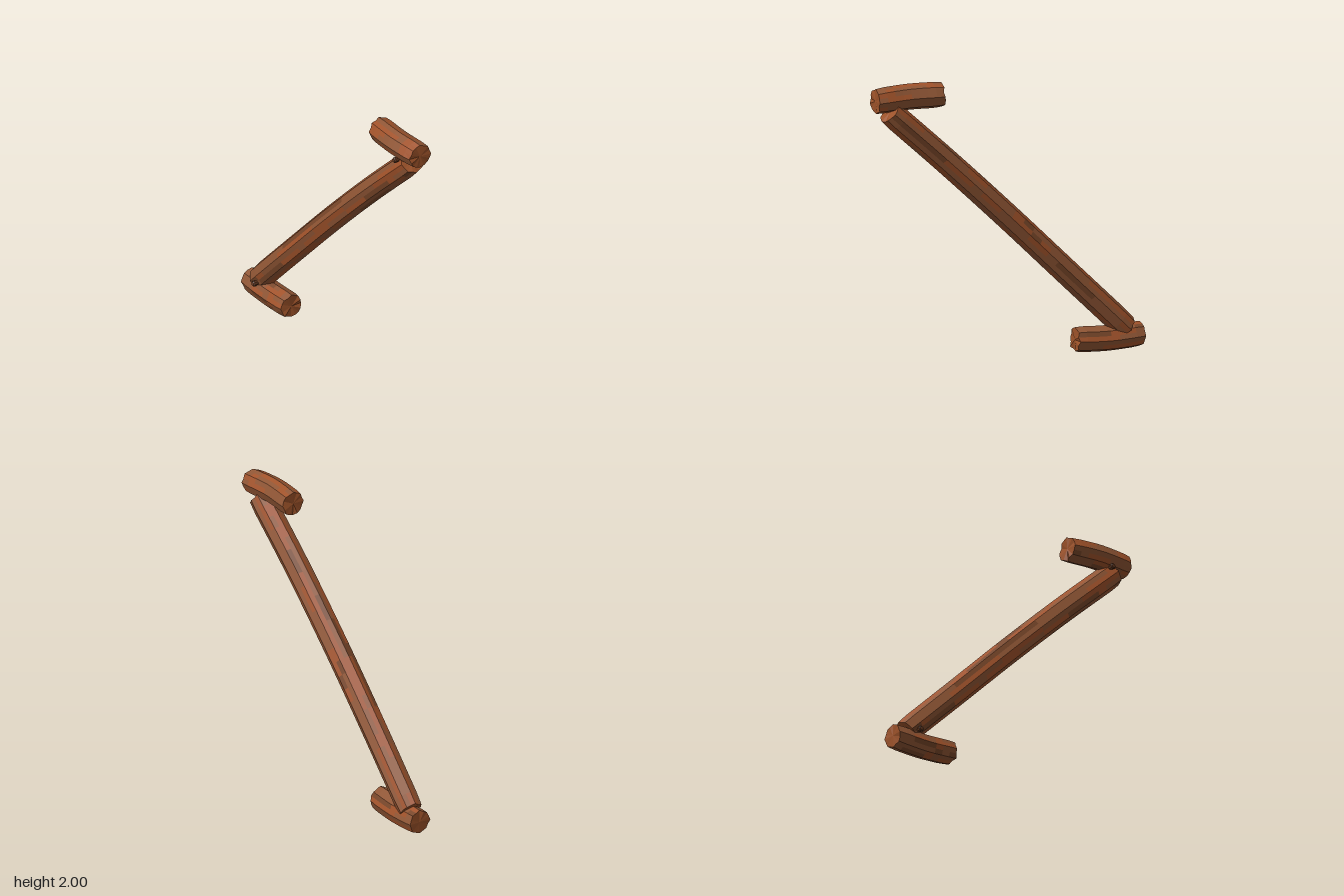
import * as THREE from 'three';

const material = (name, color) => {
  const m = new THREE.MeshStandardMaterial({ color, flatShading: true });
  m.name = name;
  return m;
};

// Repeatable random numbers for the grain and rough ends
function seeded(seed) {
  let s = seed;
  return () => {
    s = (s * 16807) % 2147483647;
    return s / 2147483647;
  };
}

// Eight-sided hewn log along a gently bent path; every facet carries two strips of grain
function makeLog(name, points, radius, segments, seed, materials) {
  const rand = seeded(seed);
  const curve = new THREE.CatmullRomCurve3(points.map(p => new THREE.Vector3(...p)));
  const axis = curve.getPoint(1).sub(curve.getPoint(0)).setZ(0).normalize();
  const up = new THREE.Vector3(-axis.y, axis.x, 0);
  const strips = 16;
  const position = [];
  const faces = materials.map(() => []);

  // Uneven facets, kept constant along the log
  const wobble = Array.from({ length: 8 }, () => 0.97 + rand() * 0.06);
  const corner = j => {
    const a = (j / 8 + 0.125) * Math.PI * 2;
    return [Math.cos(a) * wobble[j % 8], Math.sin(a) * wobble[j % 8]];
  };
  const section = Array.from({ length: strips }, (_, k) => {
    const p = corner(k >> 1), q = corner((k >> 1) + 1);
    return k % 2 ? [(p[0] + q[0]) / 2, (p[1] + q[1]) / 2] : p;
  });

  for (let i = 0; i <= segments; i++) {
    const t = i / segments;
    const centre = curve.getPoint(t);
    const end = i === 0 || i === segments;
    const r = radius * (end ? 0.95 : 1);
    for (const [u, v] of section) {
      const p = centre.clone().addScaledVector(up, u * r);
      p.z += v * r;
      if (end) p.addScaledVector(axis, (rand() - 0.5) * 0.016);
      position.push(p.x, p.y, p.z);
    }
  }

  // Sides, with the grain colour running along each strip
  for (let j = 0; j < strips; j++) {
    let tone = 0;
    const next = (j + 1) % strips;
    for (let i = 0; i < segments; i++) {
      if (rand() < 0.4) {
        const pick = rand();
        tone = pick < 0.56 ? 0 : pick < 0.9 ? 1 : 2;
      }
      const a = i * strips + j, b = i * strips + next;
      faces[tone].push(a, b, b + strips, a, b + strips, a + strips);
    }
  }

  // Cut ends
  const first = position.length / 3;
  for (const t of [0, 1]) position.push(...curve.getPoint(t).toArray());
  for (let j = 0; j < strips; j++) {
    const next = (j + 1) % strips, last = segments * strips;
    faces[3].push(first, next, j, first + 1, last + j, last + next);
  }

  const indexed = new THREE.BufferGeometry();
  indexed.setAttribute('position', new THREE.Float32BufferAttribute(position, 3));
  indexed.setIndex(faces.flat());
  const geometry = indexed.toNonIndexed();
  geometry.computeVertexNormals();
  let start = 0;
  faces.forEach((list, m) => {
    geometry.addGroup(start, list.length, m);
    start += list.length;
  });
  const mesh = new THREE.Mesh(geometry, materials);
  mesh.name = name;
  return mesh;
}

export function createModel() {
  const wood = material('brown wood', 0x8f5534);
  const grain = material('red grain', 0xa0522a);
  const knot = material('dark grain', 0x784629);
  const cut = material('cut wood', 0x9c5229);
  const pegWood = material('dark peg', 0x663a22);
  const woods = [wood, grain, knot, cut];

  const model = new THREE.Group();
  model.name = 'diagonalBrace';

  // Long brace, bowed slightly forward and upward
  model.add(makeLog('braceBeam',
    [[-0.88, 0.155, -0.014], [-0.45, 0.575, -0.002], [0, 1.015, 0.003], [0.45, 1.44, 0], [0.875, 1.825, -0.012]],
    0.089, 26, 71, woods));

  // Short logs at the top and the foot
  model.add(makeLog('topLog',
    [[0.5, 1.912, -0.012], [0.74, 1.916, 0.006], [0.98, 1.91, -0.008]],
    0.091, 8, 523, woods));
  model.add(makeLog('footLog',
    [[-0.985, 0.1, -0.014], [-0.74, 0.091, -0.01], [-0.505, 0.102, -0.002]],
    0.089, 8, 947, woods));

  // Round-headed pegs on the front
  const headShape = new THREE.LatheGeometry([
    [0, -0.05], [0.014, -0.05], [0.02, -0.018], [0.02, -0.009], [0.014, -0.002], [0, 0],
  ].map(p => new THREE.Vector2(...p)), 8);
  headShape.rotateX(Math.PI / 2);
  for (const [name, x, y] of [['topPeg', 0.815, 1.838], ['footPeg', -0.82, 0.163]]) {
    const peg = new THREE.Mesh(headShape, pegWood);
    peg.name = name;
    peg.position.set(x, y, 0.097);
    model.add(peg);
  }
  return model;
}
